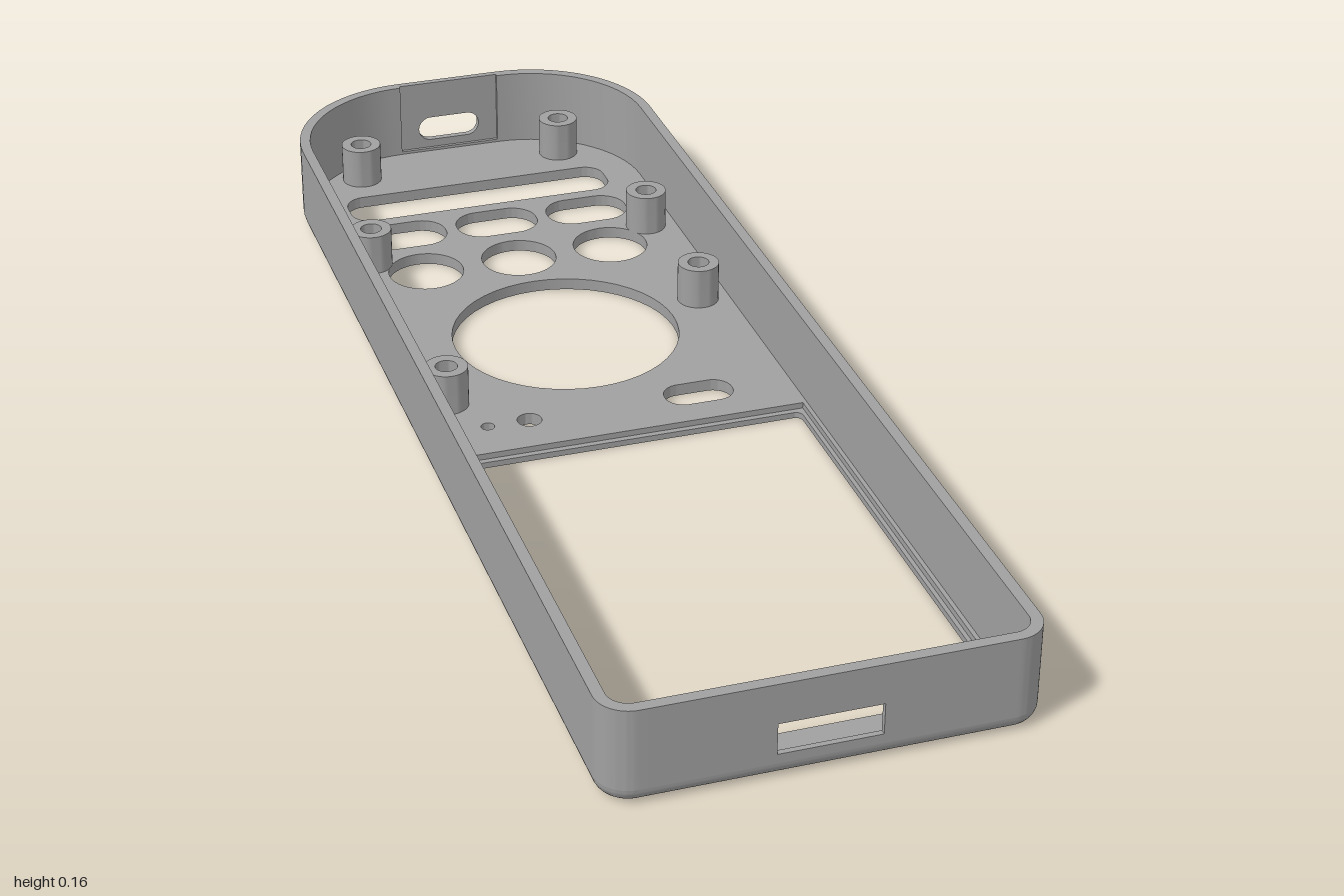
import * as THREE from 'three';
import { toCreasedNormals } from 'three/addons/utils/BufferGeometryUtils.js';

const W = 0.322, H = 0.155, WALL = 0.018, EDGE = 0.025, FLOOR = 0.02, LEDGE = 0.01;
const FRONT_R = 0.05, BACK_R = 0.23, FRONT_X = W - FRONT_R, BACK_X = W - BACK_R;

// Plan shapes use (x, -z), so the back of the case points up in the plan.
const corner = (cx, cy, r, start) => Array.from({ length: 17 }, (_, i) => {
  const a = start + (i / 16) * Math.PI / 2;
  return new THREE.Vector2(cx + r * Math.cos(a), cy + r * Math.sin(a));
});
const frontRightArc = d => corner(FRONT_X, -1 + FRONT_R, FRONT_R - d, -Math.PI / 2);
const backRightArc = d => corner(BACK_X, 1 - BACK_R, BACK_R - d, 0);
const backLeftArc = d => corner(-BACK_X, 1 - BACK_R, BACK_R - d, Math.PI / 2);
const frontLeftArc = d => corner(-FRONT_X, -1 + FRONT_R, FRONT_R - d, Math.PI);
const outline = d => [...frontRightArc(d), ...backRightArc(d), ...backLeftArc(d), ...frontLeftArc(d)];

// Opening with rounded corners
function roundedRect(x0, x1, y0, y1, r) {
  const p = new THREE.Path();
  if (r === 0) {
    return p.setFromPoints([[x0, y0], [x1, y0], [x1, y1], [x0, y1]].map(c => new THREE.Vector2(...c)));
  }
  p.absarc(x1 - r, y0 + r, r, -Math.PI / 2, 0);
  p.absarc(x1 - r, y1 - r, r, 0, Math.PI / 2);
  p.absarc(x0 + r, y1 - r, r, Math.PI / 2, Math.PI);
  p.absarc(x0 + r, y0 + r, r, Math.PI, Math.PI * 1.5);
  p.closePath();
  return p;
}
const circle = (x, z, r) => new THREE.Path().absarc(x, -z, r, 0, Math.PI * 2);
const planSlot = (x0, x1, z0, z1, r) => roundedRect(x0, x1, -z1, -z0, r);

function extrude(points, holes, depth) {
  const shape = new THREE.Shape(points);
  shape.holes.push(...holes);
  return toCreasedNormals(
    new THREE.ExtrudeGeometry(shape, { depth, bevelEnabled: false, curveSegments: 24 }), 0.6);
}
const slab = (points, holes, y0, y1) =>
  extrude(points, holes, y1 - y0).rotateX(-Math.PI / 2).translate(0, y0, 0);
const panel = (halfWidth, holes, z0, z1) =>
  extrude(roundedRect(-halfWidth, halfWidth, EDGE, H, 0).getPoints(), holes, z1 - z0).translate(0, 0, z0);

// Rounded bottom edge: a closed cross-section carried round the outline
function rimGeometry() {
  const profile = [];
  for (let i = 0; i <= 8; i++) {
    const a = (i / 8) * Math.PI / 2;
    profile.push([EDGE * (1 - Math.sin(a)), EDGE * (1 - Math.cos(a))]);
  }
  profile.push([WALL, EDGE], [WALL, FLOOR], [EDGE, FLOOR], [EDGE, 0]);
  const pos = [], index = [];
  let n = 0;
  for (const [d, y] of profile) {
    const ring = outline(d);
    n = ring.length;
    for (const p of ring) pos.push(p.x, y, -p.y);
  }
  for (let i = 0; i < profile.length - 1; i++) {
    for (let j = 0; j < n; j++) {
      const k = (j + 1) % n, a = i * n, b = a + n;
      index.push(a + j, a + k, b + k, a + j, b + k, b + j);
    }
  }
  const g = new THREE.BufferGeometry();
  g.setAttribute('position', new THREE.Float32BufferAttribute(pos, 3));
  g.setIndex(index);
  g.computeVertexNormals();
  return toCreasedNormals(g, 0.6);
}

export function createModel() {
  const group = new THREE.Group();
  const grey = new THREE.MeshStandardMaterial({ color: 0xa0a0a0 });
  grey.name = 'grey plastic';
  const add = (name, geometry) => {
    const mesh = new THREE.Mesh(geometry, grey);
    mesh.name = name;
    group.add(mesh);
    return mesh;
  };

  // Button, dial and sensor openings in the floor
  const holes = [
    planSlot(-0.24, 0.24, -0.83, -0.735, 0.035),
    planSlot(-0.073, 0.073, -0.71, -0.615, 0.045),
    circle(0, -0.52, 0.065),
    circle(0, -0.238, 0.19),
    circle(-0.207, 0.02, 0.011),
    circle(-0.138, 0.02, 0.02),
    planSlot(0.09, 0.205, -0.015, 0.05, 0.031),
  ];
  for (const s of [-1, 1]) {
    holes.push(planSlot(s * 0.167 - 0.073, s * 0.167 + 0.073, -0.71, -0.615, 0.045));
    holes.push(circle(s * 0.167, -0.52, 0.065));
  }
  const screenWindow = planSlot(-0.29, 0.29, 0.11, 0.92, 0.012);

  // Floor: a full lower layer, and an upper layer that leaves a ledge round the window
  const inner = W - EDGE;
  add('lowerFloor', slab(outline(EDGE), [...holes, screenWindow], 0, LEDGE));
  add('upperFloor', slab(
    [new THREE.Vector2(-inner, -0.1), new THREE.Vector2(inner, -0.1), ...backRightArc(EDGE), ...backLeftArc(EDGE)],
    holes, LEDGE, FLOOR));
  add('frontFloorStrip', slab(
    [...frontRightArc(EDGE), new THREE.Vector2(inner, -0.93), new THREE.Vector2(-inner, -0.93), ...frontLeftArc(EDGE)],
    [], LEDGE, FLOOR));
  add('roundedBottomEdge', rimGeometry());

  // Side walls with their corners
  const panelX = 0.26;
  const sidePoints = [
    new THREE.Vector2(panelX, -1), ...frontRightArc(0), ...backRightArc(0),
    ...backRightArc(WALL).reverse(), ...frontRightArc(WALL).reverse(), new THREE.Vector2(panelX, -1 + WALL),
  ];
  add('leftWall', slab(sidePoints, [], EDGE, H));
  add('rightWall', slab(sidePoints.map(p => new THREE.Vector2(-p.x, p.y)).reverse(), [], EDGE, H));

  // Front wall: rectangular port, stepped wider inside, with two catch slits
  add('frontWallOuter', panel(panelX, [roundedRect(-0.077, 0.077, 0.04, 0.09, 0)], 1 - WALL / 2, 1));
  add('frontWallInner', panel(panelX, [
    roundedRect(-0.095, 0.095, 0.032, 0.098, 0),
    roundedRect(-0.235, -0.125, 0.106, 0.114, 0),
    roundedRect(0.125, 0.235, 0.106, 0.114, 0),
  ], 1 - WALL, 1 - WALL / 2));

  // Thinner back wall with a rounded port
  add('backWall', panel(BACK_X, [roundedRect(-0.057, 0.057, 0.04, 0.085, 0.0224)], -1, -0.988));

  // Hollow screw posts
  const post = toCreasedNormals(new THREE.LatheGeometry(
    [[0.035, 0], [0.035, 0.07], [0.018, 0.07], [0.018, 0]].map(c => new THREE.Vector2(...c)), 32), 0.6);
  const posts = [[-0.187, -0.905], [0.187, -0.905], [-0.25, -0.572], [0.25, -0.572], [0.25, -0.285], [-0.25, -0.068]];
  for (const [x, z] of posts) add('screwPost', post).position.set(x, FLOOR, z);

  return group;
}
